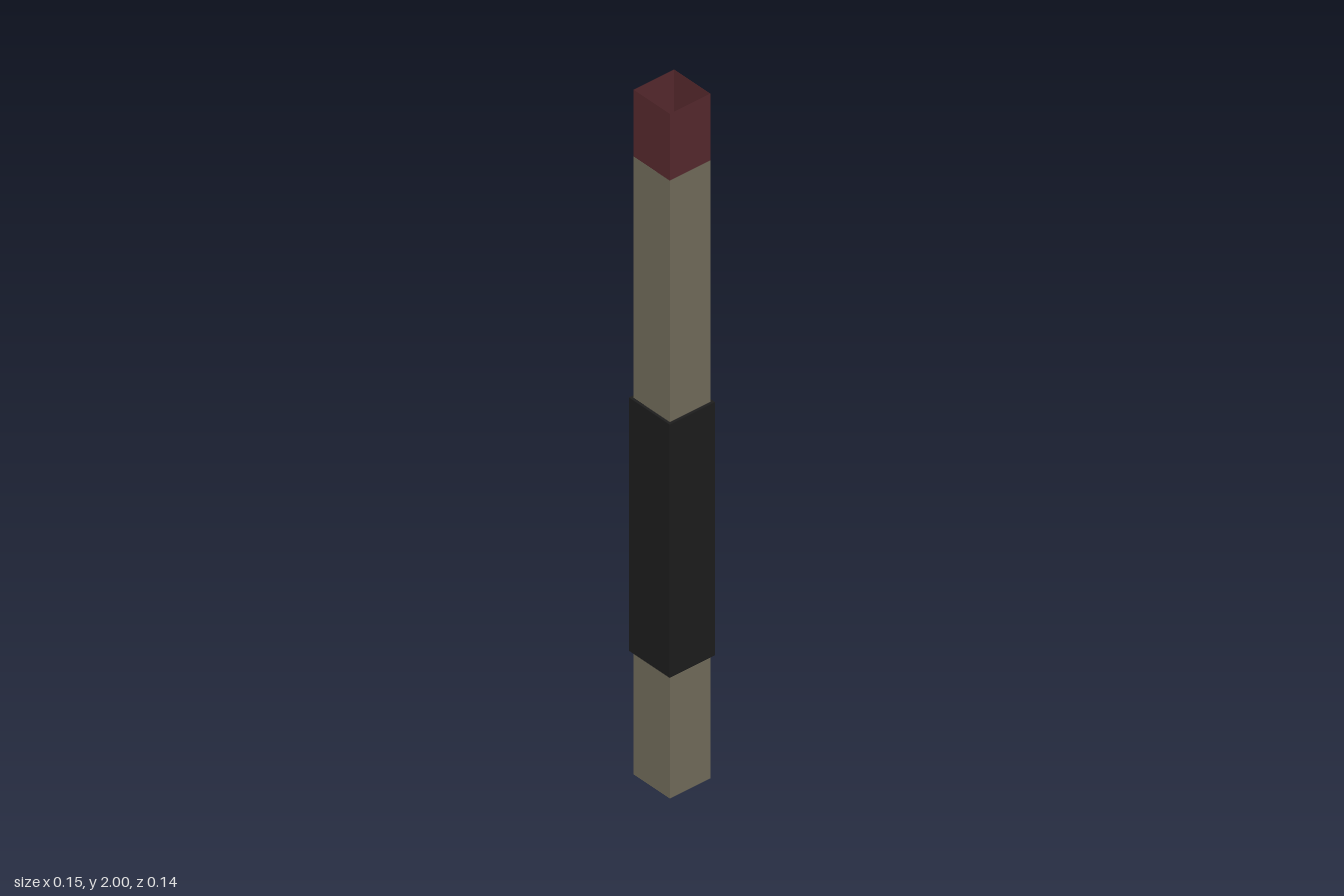
import * as THREE from 'three';

const HALF_Z = 0.064;      // half depth of the tube
const X_STRETCH = 1.033;   // tube is slightly wider than deep

// Four-sided open shell swept around y from [halfWidth, y] points, bottom to top
function squareShell(name, color, profile) {
  const points = profile.map(([half, y]) => new THREE.Vector2(half * Math.SQRT2, y));
  const geometry = new THREE.LatheGeometry(points, 4, Math.PI / 4).toNonIndexed();
  geometry.scale(X_STRETCH, 1, 1);
  geometry.computeVertexNormals();
  const material = new THREE.MeshStandardMaterial({ color, flatShading: true, side: THREE.DoubleSide });
  const mesh = new THREE.Mesh(geometry, material);
  mesh.name = name;
  return mesh;
}

export function createModel() {
  const group = new THREE.Group();
  group.name = 'squareTube';

  // Hollow shaft, open at both ends
  group.add(squareShell('shaft', 0x756f5e, [[HALF_Z, 0], [HALF_Z, 1.805]]));

  // Coloured tip, continuing the shaft
  group.add(squareShell('tip', 0x592a2f, [[HALF_Z, 1.805], [HALF_Z, 2]]));

  // Grip sleeve with a narrow rim at each end
  const gripHalf = 0.0715;
  group.add(squareShell('grip', 0x1e1e1e, [
    [HALF_Z, 0.36], [gripHalf, 0.36], [gripHalf, 1.1], [HALF_Z, 1.1],
  ]));

  return group;
}
